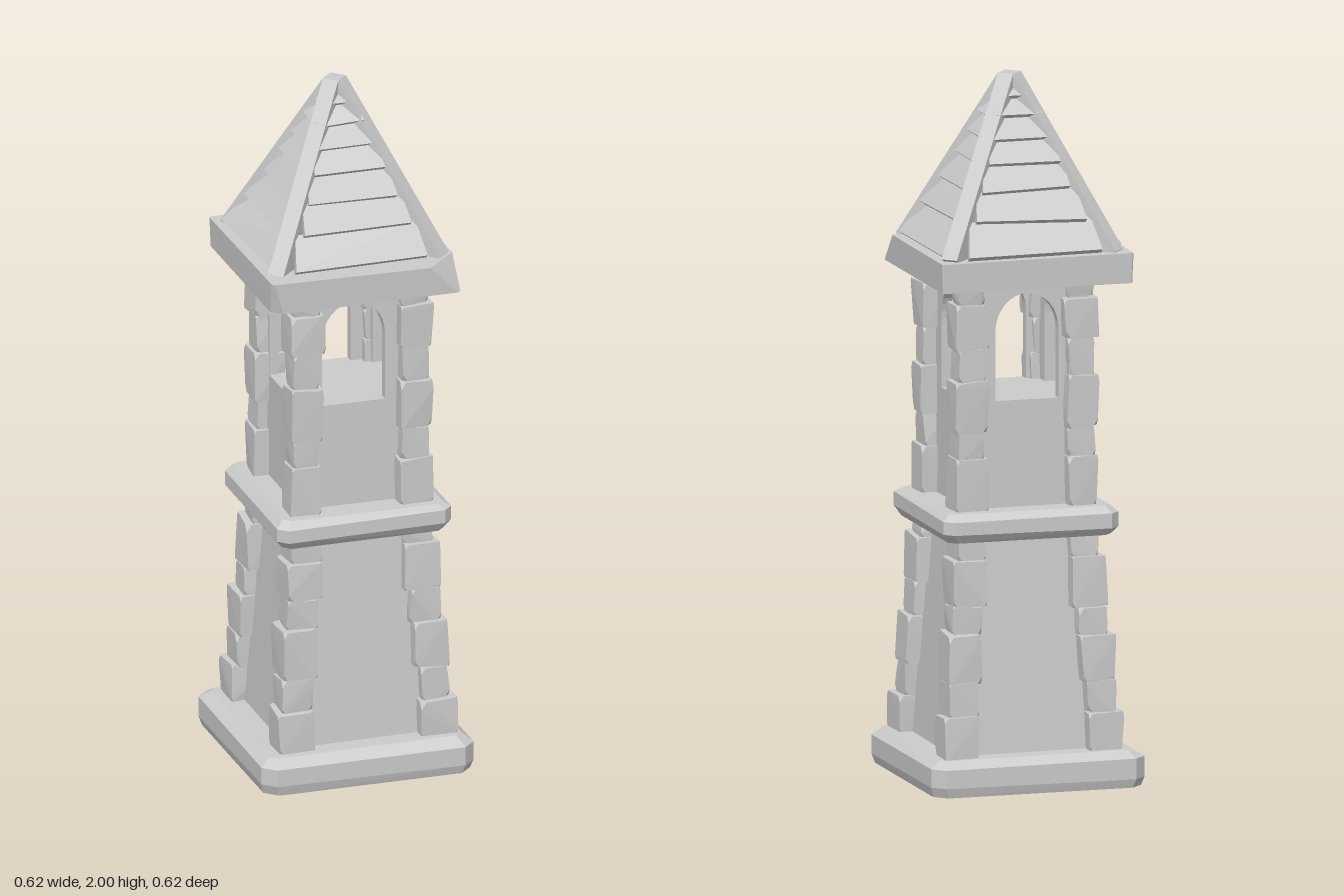
import * as THREE from 'three';
import { ConvexGeometry } from 'three/addons/geometries/ConvexGeometry.js';

const material = new THREE.MeshStandardMaterial({ color: 0xcccccc, flatShading: true });
const V = (x, y, z) => new THREE.Vector3(x, y, z);

let seed = 11;
const jitter = (amount) => {
  seed = (seed * 16807) % 2147483647;
  return (seed / 2147483647 * 2 - 1) * amount;
};

function add(parent, name, geometry) {
  const mesh = new THREE.Mesh(geometry, material);
  mesh.name = name;
  parent.add(mesh);
  return mesh;
}

const hull = (parent, name, points) => add(parent, name, new ConvexGeometry(points));

// Square slab with cut corners; layers are [y, half width, corner cut]
function slab(parent, name, layers, cx = 0, cz = 0, chips = {}) {
  const points = [];
  layers.forEach(([y, h, cut], i) => {
    for (const sx of [-1, 1]) for (const sz of [-1, 1]) {
      const c = (chips[`${sx},${sz}`] || [])[i] ?? cut;
      const dy = i === 0 ? 0 : jitter(0.005);
      points.push(V(cx + sx * (h - c), y + dy, cz + sz * h), V(cx + sx * h, y + dy, cz + sz * (h - c)));
    }
  });
  hull(parent, name, points);
}

// Roughly hewn block with chipped corners
function stone(parent, x, y, z, w, h, d) {
  const points = [];
  for (const sx of [-1, 1]) for (const sy of [-1, 1]) for (const sz of [-1, 1]) {
    const px = x + sx * w / 2 + jitter(0.004);
    const py = y + sy * h / 2 + jitter(0.005);
    const pz = z + sz * d / 2 + jitter(0.004);
    const b = 0.009 + jitter(0.005);
    points.push(V(px - sx * b, py, pz), V(px, py - sy * b * 1.6, pz), V(px, py, pz - sz * b));
  }
  hull(parent, 'cornerStone', points);
}

// Corner pillar: a slim core with alternating wide and narrow stones
function pillar(parent, name, sx, sz, cx, cz, y0, y1, out0, out1, wide, narrow, heights) {
  const group = new THREE.Group();
  group.name = name;
  parent.add(group);
  const core = [];
  for (const [y, o] of [[y0, out0], [y1, out1]])
    for (const a of [0.016, 0.08]) for (const b of [0.016, 0.08])
      core.push(V(cx + sx * (o - a), y, cz + sz * (o - b)));
  hull(group, 'pillarCore', core);
  const total = heights.reduce((a, b) => a + b, 0);
  let y = y0;
  heights.forEach((part, i) => {
    const h = part / total * (y1 - y0);
    const mid = y + h / 2;
    const outer = THREE.MathUtils.lerp(out0, out1, (mid - y0) / (y1 - y0)) + (i % 2 ? -0.008 : 0.001);
    const w = (i % 2 ? narrow : wide) + jitter(0.005);
    const d = (i % 2 ? narrow : wide) + jitter(0.005);
    stone(group, cx + sx * (outer - w / 2), mid, cz + sz * (outer - d / 2), w, h, d);
    y += h;
  });
}

// Wall with an arched opening down to the sill, shifted sideways by cx
function archWall(h, y0, y1, thickness, cx) {
  const r = 0.0925;
  const shape = new THREE.Shape();
  shape.moveTo(-h, y0);
  shape.lineTo(cx - r, y0);
  shape.lineTo(cx - r, 1.29);
  shape.absellipse(cx, 1.29, r, 0.106, Math.PI, 0, true);
  shape.lineTo(cx + r, y0);
  shape.lineTo(h, y0);
  shape.lineTo(h, y1);
  shape.lineTo(-h, y1);
  shape.closePath();
  return new THREE.ExtrudeGeometry(shape, { depth: thickness, bevelEnabled: false, curveSegments: 8 });
}

function buildRoof(parent) {
  const roof = new THREE.Group();
  roof.name = 'roof';
  roof.position.set(0.005, 0, -0.03);
  parent.add(roof);

  // Overlapping boards, bottom to top: [y, distance from the axis]
  const rows = [[1.528, 0.26], [1.612, 0.208], [1.692, 0.17], [1.765, 0.137], [1.828, 0.107], [1.885, 0.08], [1.935, 0.052], [1.98, 0.028]];
  for (let side = 0; side < 4; side++) {
    const face = new THREE.Group();
    face.name = 'roofFace';
    face.rotation.y = side * Math.PI / 2;
    roof.add(face);
    for (let i = 0; i < rows.length - 1; i++) {
      const [ya, ra] = rows[i];
      const [yb, rb] = rows[i + 1];
      const rTop = rb - 0.022;
      const points = [];
      for (const s of [-1, 1]) {
        const dy = jitter(0.005);
        const out = ra + jitter(ra * 0.03);
        const w0 = s * (ra * 0.76 + jitter(ra * 0.03));
        const w1 = s * rb * 0.85;
        points.push(V(w0, ya + dy + 0.004, out), V(w0, ya + dy - 0.008, out - 0.016));
        points.push(V(w1, yb + 0.003, rTop), V(w1, yb - 0.008, rTop - 0.012));
      }
      hull(face, 'roofBoard', points);
    }
  }

  // Hip beams meeting at the apex
  const e = 0.034;
  for (const sx of [-1, 1]) for (const sz of [-1, 1]) {
    const points = [];
    for (const [y, rx, rz] of [[1.505, 0.232, 0.212], [2, 0, 0]])
      for (const [a, b] of [[e, 0], [-e, 0], [0, e], [0, -e]])
        points.push(V(sx * rx + a, y + (rx ? (a * sx + b * sz) * 0.45 : 0), sz * rz + b));
    hull(roof, 'hipBeam', points);
  }
}

export function createModel() {
  const tower = new THREE.Group();
  tower.name = 'tower';

  // Ledges between the storeys
  slab(tower, 'base', [[0, 0.304, 0.035], [0.03, 0.312, 0.035], [0.08, 0.312, 0.035], [0.104, 0.28, 0.02]]);
  slab(tower, 'middleLedge', [[0.709, 0.238, 0.022], [0.734, 0.256, 0.026], [0.774, 0.256, 0.026], [0.791, 0.235, 0.02]], 0.006);
  slab(tower, 'eave', [[1.43, 0.277, 0.004], [1.518, 0.28, 0.004]], 0.003, -0.01,
    { '1,1': [0.01, 0.095], '-1,1': [0.03, 0.008] });

  // Tapered lower storey
  const lower = [];
  for (const [y, h] of [[0.08, 0.224], [0.74, 0.174]])
    for (const sx of [-1, 1]) for (const sz of [-1, 1]) lower.push(V(0.008 + sx * h, y, sz * h));
  hull(tower, 'lowerWalls', lower);

  // Upper storey: solid up to the sill, then four arched walls
  const h = 0.165;
  const sill = 1.094;
  const parapet = add(tower, 'upperWalls', new THREE.BoxGeometry(h * 2, sill - 0.76, h * 2));
  parapet.position.set(0.006, (sill + 0.76) / 2, -0.004);
  const shifts = [-0.008, 0.012, 0.008, -0.012];
  shifts.forEach((shift, i) => {
    const side = new THREE.Group();
    side.name = 'archSide';
    side.position.set(0.006, 0, -0.004);
    side.rotation.y = i * Math.PI / 2;
    tower.add(side);
    add(side, 'archWall', archWall(h, sill, 1.44, 0.028, shift)).position.z = h - 0.028;
  });

  // Corner pillars of both storeys
  const lowerStones = [1.1, 0.9, 1.5, 0.9, 1.3, 0.8];
  const upperStones = [1.5, 0.8, 1.4, 1.0, 1.3, 0.4];
  for (const sx of [-1, 1]) for (const sz of [-1, 1]) {
    const vary = (list) => list.map((v) => v + jitter(0.2));
    pillar(tower, 'lowerPillar', sx, sz, 0.008, -0.004, 0.1, 0.72, 0.266, 0.212, 0.1, 0.084, vary(lowerStones));
    pillar(tower, 'upperPillar', sx, sz, 0.008, 0, 0.785, 1.435, 0.206, 0.206, 0.092, 0.076, vary(upperStones));
  }

  buildRoof(tower);
  return tower;
}
